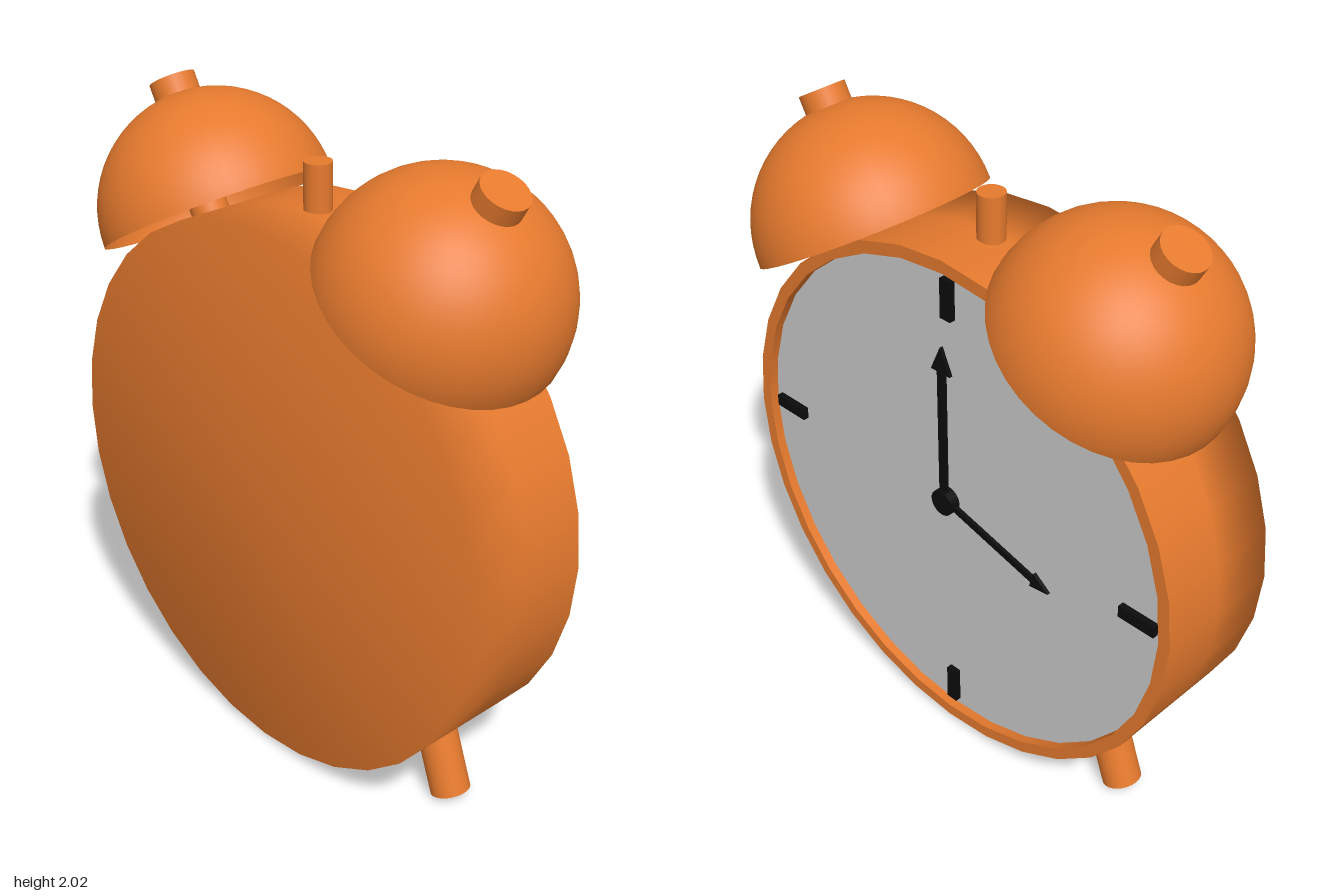
import * as THREE from 'three';

const orange = new THREE.MeshStandardMaterial({ color: 0xe67a2e, side: THREE.DoubleSide });
const black = new THREE.MeshStandardMaterial({ color: 0x0c0c0c });
const grey = new THREE.MeshStandardMaterial({ color: 0xcccccc });

// Built with the dial facing local +z, then turned to face +x
export function createModel() {
  const clock = new THREE.Group();
  clock.name = 'alarmClock';

  const add = (name, geometry, material, x = 0, y = 0, z = 0, parent = clock) => {
    const mesh = new THREE.Mesh(geometry, material);
    mesh.name = name;
    mesh.position.set(x, y, z);
    parent.add(mesh);
    return mesh;
  };
  const lathe = (points) =>
    new THREE.LatheGeometry(points.map(([r, y]) => new THREE.Vector2(r, y)), 32).rotateX(Math.PI / 2);

  const cy = 0.882, R = 0.868, inner = 0.828, faceZ = 0.15;

  // Drum with softly shaded back, flat front rim, shallow inner lip and dial
  add('body', lathe([[0, -0.25], [R, -0.25], [R, -0.035], [R, 0.18]]), orange, 0, cy);
  add('rim', lathe([[R, 0.18], [inner, 0.18]]), orange, 0, cy);
  add('rimLip', lathe([[inner, 0.18], [inner, faceZ]]), orange, 0, cy);
  add('dial', new THREE.CircleGeometry(inner, 32, Math.PI / 2), grey, 0, cy, faceZ);

  // Quarter-hour marks
  for (let i = 0; i < 4; i++) {
    const a = i * Math.PI / 2;
    const y = i % 2 ? cy : 0.9;
    add('hourMark', new THREE.BoxGeometry(0.128, 0.04, 0.02), black,
      0.738 * Math.cos(a), y + 0.738 * Math.sin(a), faceZ + 0.01).rotation.z = a;
  }

  // Arrow-shaped hands around the hub
  const hubX = -0.015, hubY = 0.908;
  const hand = (name, length, angle, half, headLength, headHalf, z) => {
    const neck = length - headLength;
    const shape = new THREE.Shape([
      [0, -half], [neck, -half], [neck, -headHalf], [length, 0],
      [neck, headHalf], [neck, half], [0, half],
    ].map(([x, y]) => new THREE.Vector2(x, y)));
    const geometry = new THREE.ExtrudeGeometry(shape, { depth: 0.012, bevelEnabled: false });
    add(name, geometry, black, hubX + 0.03, hubY, z).rotation.z = angle;
    clock.children.at(-1).position.x = hubX;
  };
  hand('minuteHand', 0.555, Math.PI / 2, 0.014, 0.085, 0.038, 0.166);
  hand('hourHand', 0.44, -0.26, 0.011, 0.068, 0.028, 0.158);
  add('hub', new THREE.CylinderGeometry(0.043, 0.043, 0.034, 24).rotateX(Math.PI / 2),
    black, hubX, hubY, faceZ + 0.017);

  // Hammer post on top
  add('hammerPost', new THREE.CylinderGeometry(0.042, 0.042, 0.22, 24), orange, 0.005, 1.78, -0.01);

  for (const s of [-1, 1]) {
    // Open bell with its knob and post, tilted outwards
    const bell = new THREE.Group();
    bell.name = s < 0 ? 'leftBell' : 'rightBell';
    bell.position.set(s * 0.47, 1.62, 0);
    bell.rotation.z = -s * Math.PI / 6;
    clock.add(bell);
    add('dome', new THREE.SphereGeometry(0.368, 40, 16, 0, Math.PI * 2, 0, Math.PI / 2),
      orange, 0, 0, 0, bell);
    add('knob', new THREE.CylinderGeometry(0.072, 0.072, 0.08, 24), orange, 0, 0.376, 0, bell);
    add('bellPost', new THREE.CylinderGeometry(0.06, 0.06, 0.5, 24), orange, s * 0.045, 0.07, 0, bell);

    // Splayed leg
    add('leg', new THREE.CylinderGeometry(0.063, 0.063, 0.34, 24).translate(0, 0.17, 0),
      orange, s * 0.597, 0.022, -0.005).rotation.z = s * 0.34;
  }

  clock.rotation.y = Math.PI / 2;
  const model = new THREE.Group();
  model.name = 'model';
  model.add(clock);
  return model;
}
